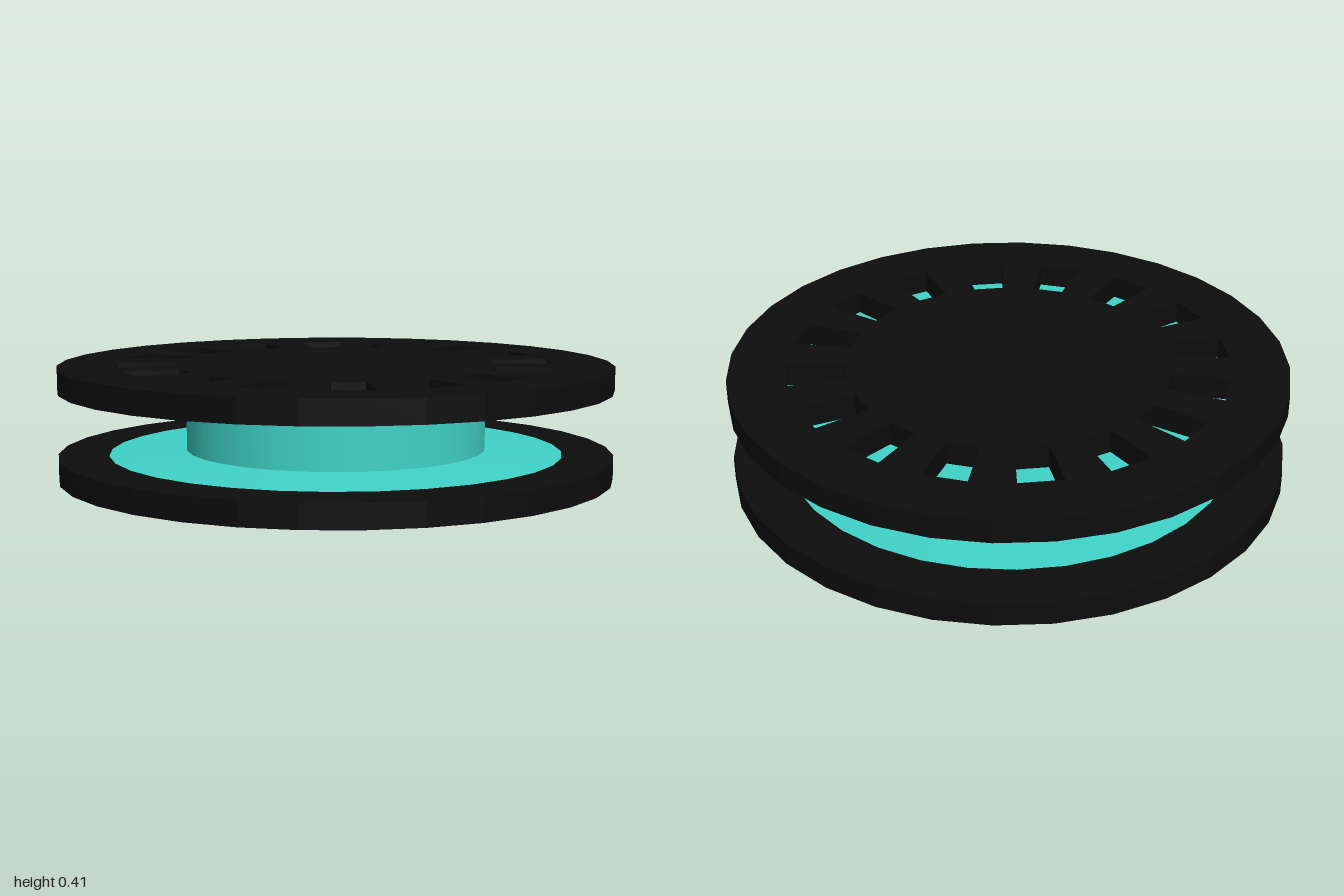
import * as THREE from 'three';

const SIDES = 32;
const STEP = (Math.PI * 2) / SIDES;
const HEIGHT = 0.405;
const PLATE = 0.085;
const HUB_RADIUS = 0.543;

const polar = (r, a) => new THREE.Vector2(r * Math.cos(a), r * Math.sin(a));

// Round plate with a ring of wedge-shaped windows
function plateGeometry() {
  const rim = [];
  for (let i = 0; i < SIDES; i++) rim.push(polar(1.002, i * STEP + 0.112));
  const shape = new THREE.Shape(rim);
  for (let i = 0; i < SIDES; i += 2) {
    const a = i * STEP, b = a + STEP;
    shape.holes.push(new THREE.Path([polar(0.585, a), polar(0.585, b), polar(0.795, b), polar(0.795, a)]));
  }
  const geometry = new THREE.ExtrudeGeometry(shape, { depth: PLATE, bevelEnabled: false });
  return geometry.rotateX(-Math.PI / 2);
}

export function createModel() {
  const black = new THREE.MeshStandardMaterial({ color: 0x0d0d0d });
  black.name = 'black';
  const turquoise = new THREE.MeshStandardMaterial({ color: 0x40d3c8 });
  turquoise.name = 'turquoise';

  const model = new THREE.Group();
  model.name = 'spool';
  const add = (name, geometry, material, y) => {
    const mesh = new THREE.Mesh(geometry, material);
    mesh.name = name;
    mesh.position.y = y;
    model.add(mesh);
    return mesh;
  };

  // Outer plates
  const plate = plateGeometry();
  add('bottomPlate', plate, black, 0);
  add('topPlate', plate, black, HEIGHT - PLATE);

  // Shallow cones behind the windows, sloping in to the hub
  const coneHeight = 0.014;
  const cone = new THREE.CylinderGeometry(HUB_RADIUS, 0.82, coneHeight, SIDES);
  add('bottomFlange', cone, turquoise, PLATE + coneHeight / 2);
  add('topFlange', cone, turquoise, HEIGHT - PLATE - coneHeight / 2).rotation.x = Math.PI;

  // Central hub
  const hubHeight = HEIGHT - 2 * (PLATE + coneHeight);
  add('hub', new THREE.CylinderGeometry(HUB_RADIUS, HUB_RADIUS, hubHeight, SIDES, 1, true), turquoise, HEIGHT / 2);

  return model;
}
